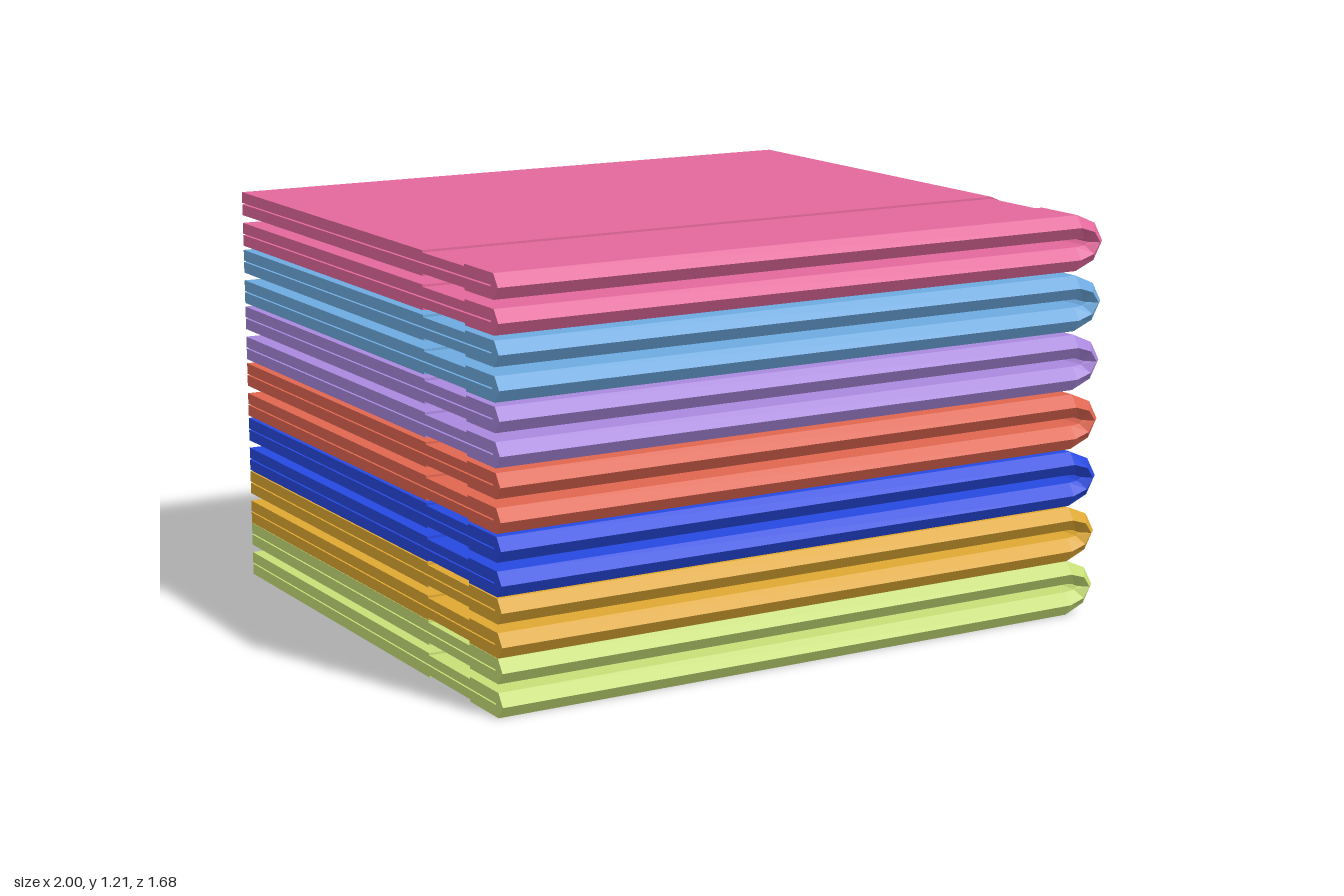
import * as THREE from 'three';

// Fold path in x/y for the inner and outer face of the cloth, top leg to bottom leg
const half = [
  { inner: [-1, 0.012], outer: [-1, 0.0825] },
  { inner: [0.905, 0.012], outer: [0.905, 0.0825] },
  { inner: [0.935, 0.009], outer: [0.97, 0.055] },
];
const flip = ({ inner, outer }) => ({ inner: [inner[0], -inner[1]], outer: [outer[0], -outer[1]] });
const path = [...half, { inner: [0.948, 0], outer: [1, 0] }, ...half.map(flip).reverse()];

// Doubled cloth in z / thickness (-1 inner, 1 outer): pointed front fold,
// sunken woven band, and a narrow slit that opens at the back
const side = [[-0.84, 1], [0.4, 1], [0.4, 0.82], [0.65, 0.82], [0.65, 1], [0.815, 1]];
const slit = [[-0.84, -0.06], [0.8, -0.06], [0.8, 0.06], [-0.84, 0.06]];
const section = [...side, [0.84, 0], ...side.map(([z, d]) => [z, -d]).reverse(), ...slit];

function point(station, [z, d]) {
  const t = (d + 1) / 2;
  return new THREE.Vector3(
    THREE.MathUtils.lerp(station.inner[0], station.outer[0], t),
    THREE.MathUtils.lerp(station.inner[1], station.outer[1], t),
    z
  );
}

function towelGeometry() {
  const vertices = [];
  const rings = path.map((s) => section.map((p) => point(s, p)));
  const n = section.length;

  // Sweep the section along the fold
  for (let i = 0; i < rings.length - 1; i++) {
    for (let j = 0; j < n; j++) {
      const k = (j + 1) % n;
      const a = rings[i][j], b = rings[i + 1][j], c = rings[i + 1][k], d = rings[i][k];
      vertices.push(a, d, c, a, c, b);
    }
  }

  // Close both open ends, which face -x
  const faces = THREE.ShapeUtils.triangulateShape(section.map(([z, d]) => new THREE.Vector2(z, d)), []);
  for (const ring of [rings[0], rings[rings.length - 1]]) {
    for (const face of faces) {
      const [a, b, c] = face.map((v) => ring[v]);
      const normal = b.clone().sub(a).cross(c.clone().sub(a));
      vertices.push(...(normal.x < 0 ? [a, b, c] : [a, c, b]));
    }
  }

  const geometry = new THREE.BufferGeometry().setFromPoints(vertices);
  geometry.computeVertexNormals();
  return geometry;
}

export function createModel() {
  const group = new THREE.Group();
  group.name = 'foldedTowelStack';
  const geometry = towelGeometry();

  // Base height and colour of each towel, bottom to top
  const towels = [
    ['greenTowel', 0, 0xc8df78],
    ['goldTowel', 0.166, 0xdfa832],
    ['blueTowel', 0.335, 0x2648e0],
    ['redTowel', 0.508, 0xe06650],
    ['purpleTowel', 0.686, 0xaa88de],
    ['skyBlueTowel', 0.862, 0x6daae0],
    ['pinkTowel', 1.04, 0xe4689c],
  ];
  for (const [name, y, color] of towels) {
    const towel = new THREE.Mesh(geometry, new THREE.MeshStandardMaterial({ color, flatShading: true }));
    towel.name = name;
    towel.position.y = y + 0.0825;
    group.add(towel);
  }
  return group;
}
